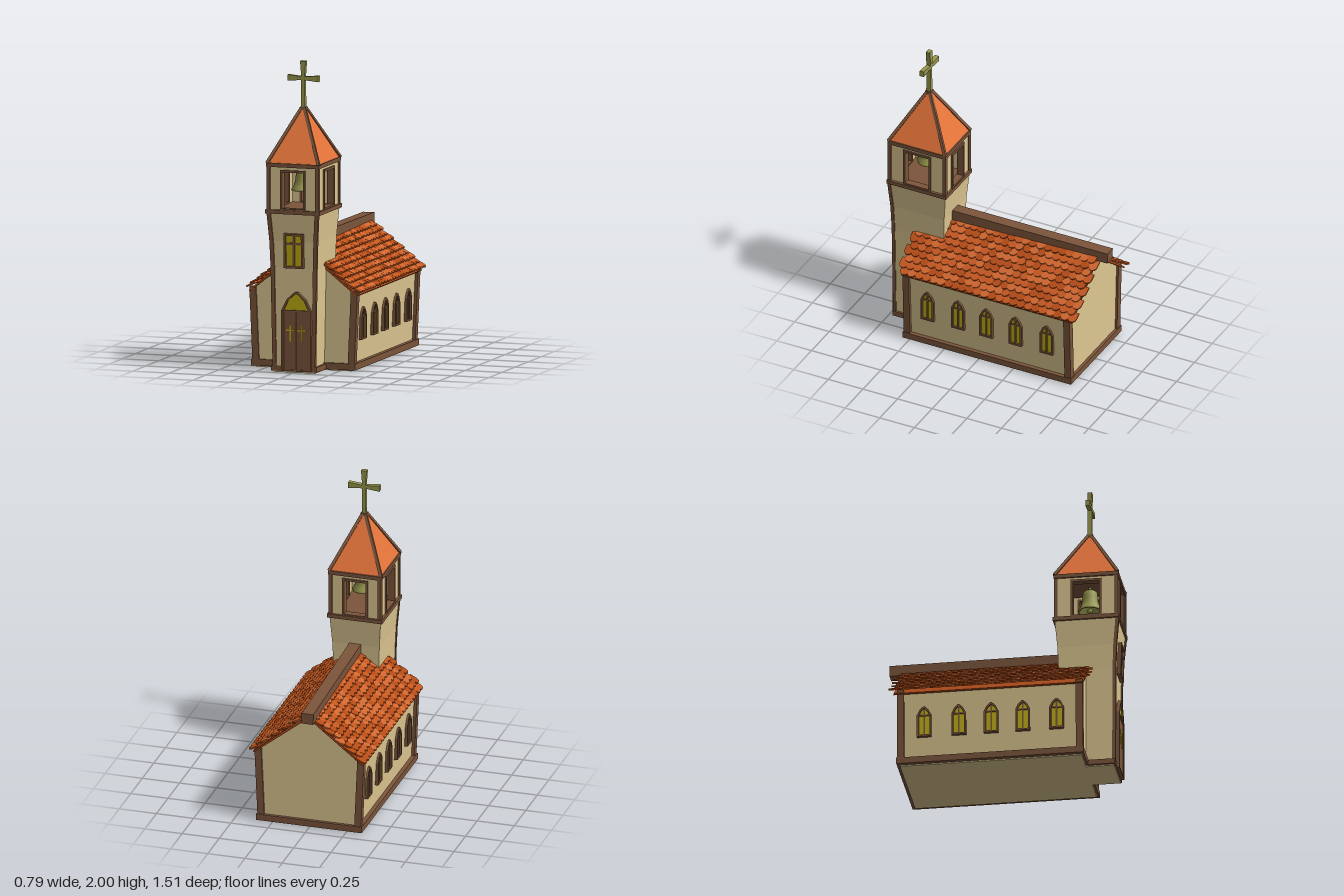
import * as THREE from 'three';
import { mergeGeometries } from 'three/addons/utils/BufferGeometryUtils.js';

const paint = (color, flat = true) => new THREE.MeshStandardMaterial({ color, flatShading: flat });
const WALL = paint(0xdec892), WOOD = paint(0x7c553b), GOLD = paint(0xbfae14);
const SPIRE = paint(0xe5743a), DECK = paint(0xa8481a), BRONZE = paint(0x98984e, false), CROSS = paint(0x98984e);
const TILES = [paint(0xd0662f), paint(0xc4571f), paint(0xb34a14)];
const TZ = 0.535; // tower centre in z

function add(parent, name, geo, mat, x = 0, y = 0, z = 0) {
  const m = new THREE.Mesh(geo, mat);
  m.name = name;
  m.position.set(x, y, z);
  parent.add(m);
  return m;
}
function box(parent, name, mat, w, h, d, x, y, z) {
  return add(parent, name, new THREE.BoxGeometry(w, h, d), mat, x, y, z);
}
// Straight timber between two points
function beam(parent, name, a, b, w, d = w, mat = WOOD) {
  const p = new THREE.Vector3(...a), q = new THREE.Vector3(...b), dir = q.clone().sub(p);
  const m = box(parent, name, mat, w, dir.length(), d, 0, 0, 0);
  m.position.copy(p).add(q).multiplyScalar(0.5);
  m.quaternion.setFromUnitVectors(new THREE.Vector3(0, 1, 0), dir.normalize());
  return m;
}
// Rectangular tower skin through sections [y, halfX, halfZ]
function loft(sections) {
  const pos = [], idx = [], n = sections.length;
  for (const [y, hx, hz] of sections) pos.push(-hx, y, hz, hx, y, hz, hx, y, -hz, -hx, y, -hz);
  for (let i = 0; i < n - 1; i++) for (let k = 0; k < 4; k++) {
    const a = i * 4 + k, b = i * 4 + (k + 1) % 4;
    idx.push(a, b, b + 4, a, b + 4, a + 4);
  }
  const t = (n - 1) * 4;
  idx.push(0, 3, 2, 0, 2, 1, t, t + 1, t + 2, t, t + 2, t + 3);
  const g = new THREE.BufferGeometry();
  g.setAttribute('position', new THREE.Float32BufferAttribute(pos, 3));
  g.setIndex(idx);
  const flat = g.toNonIndexed();
  flat.computeVertexNormals();
  return flat;
}
const poly = pts => new THREE.Shape(pts.map(p => new THREE.Vector2(...p)));
const extrude = (shape, depth) => new THREE.ExtrudeGeometry(shape, { depth, bevelEnabled: false, curveSegments: 5 });
// Outline standing on y = 0: straight to h1, then a pointed arch up to h
const arch = (w, h1, h, b = 0) => poly([[-w, b], [w, b], [w, h1], [w * 0.62, h1 + (h - h1) * 0.62],
  [w * 0.12, h], [-w * 0.12, h], [-w * 0.62, h1 + (h - h1) * 0.62], [-w, h1]]);
const rect = (w, y0, y1) => poly([[-w, y0], [w, y0], [w, y1], [-w, y1]]);

// Framed pane with mullion and transom, facing +z
function makeWindow(name, outer, inner, h, barY, w, t) {
  const g = new THREE.Group();
  g.name = name;
  add(g, 'pane', extrude(inner, 0.012), GOLD);
  outer.holes.push(inner);
  add(g, 'frame', extrude(outer, 0.024), WOOD);
  box(g, 'mullion', WOOD, t, h - 0.01, 0.02, 0, h / 2, 0.01);
  box(g, 'transom', WOOD, w * 2 - 0.01, t, 0.018, 0, barY, 0.01);
  return g;
}

function makeNave() {
  const g = new THREE.Group();
  g.name = 'nave';
  add(g, 'walls', extrude(poly([[-0.325, 0], [0.325, 0], [0.348, 0.505], [0, 0.785], [-0.348, 0.505]]), 1.18), WALL, 0, 0, -0.65);
  box(g, 'plinth', WOOD, 0.71, 0.042, 1.215, 0, 0.029, -0.0625);
  for (const s of [-1, 1]) {
    for (const z of [0.518, -0.642]) beam(g, 'cornerPost', [s * 0.325, 0.04, z], [s * 0.346, 0.52, z], 0.045);
    for (const z of [0.37, 0.15, -0.055, -0.265, -0.49]) {
      const w = makeWindow('sideWindow', arch(0.047, 0.15, 0.21), arch(0.035, 0.148, 0.195, 0.012), 0.21, 0.15, 0.047, 0.01);
      w.position.set(s * 0.332, 0.19, z);
      w.rotation.set(0, s * Math.PI / 2, 0);
      g.add(w);
    }
  }
  return g;
}

function makeRoof() {
  const g = new THREE.Group();
  g.name = 'roof';
  let seed = 7;
  const rnd = () => (seed = (seed * 16807) % 2147483647) / 2147483647;
  // Fish-scale tile: round at the bottom, straight sides
  const R = 0.029, shape = new THREE.Shape();
  shape.moveTo(-R, 0.075);
  shape.lineTo(-R, R);
  shape.absarc(0, R, R, Math.PI, 2 * Math.PI, false);
  shape.lineTo(R, 0.075);
  const tile = extrude(shape, 0.011);
  const eave = [0.383, 0.5], ridgeY = 0.8;
  const len = Math.hypot(eave[0], ridgeY - eave[1]), c = eave[0] / len, sn = (ridgeY - eave[1]) / len;
  const bins = [[], [], []];
  for (const s of [-1, 1]) {
    const up = new THREE.Vector3(-s * c, sn, 0), out = new THREE.Vector3(s * sn, c, 0);
    const side = up.clone().cross(out);
    for (let row = 0; row < 10; row++) for (let col = 0; col < 24; col++) {
      const t = row * 0.046, x = eave[0] - c * t;
      const z = -0.672 + col * 0.0525 + (row % 2 ? 0.013 : -0.013) + (rnd() - 0.5) * 0.008;
      const pick = Math.floor(rnd() * 3);
      if (x < 0.13 && z > 0.37) continue; // tower stands here
      const p = new THREE.Vector3(s * eave[0], eave[1], z).addScaledVector(up, t).addScaledVector(out, 0.014);
      const m = new THREE.Matrix4().makeBasis(side, up, out).setPosition(p);
      m.multiply(new THREE.Matrix4().makeRotationX(-0.17 - rnd() * 0.05));
      bins[pick].push(tile.clone().applyMatrix4(m));
    }
  }
  bins.forEach((b, i) => add(g, 'roofTiles', mergeGeometries(b), TILES[i]));
  const deck = poly([[-0.372, 0.496], [-0.365, 0.488], [0, 0.775], [0.365, 0.488], [0.372, 0.496], [0, 0.802]]);
  add(g, 'roofDeck', extrude(deck, 1.23), DECK, 0, 0, -0.685);
  beam(g, 'ridgeBeam', [0.005, 0.822, 0.35], [-0.018, 0.806, -0.76], 0.078, 0.072);
  return g;
}

function makeTower() {
  const g = new THREE.Group();
  g.name = 'tower';
  g.position.z = TZ;
  const shaft = [[0, 0.14, 0.178], [0.68, 0.152, 0.182], [0.85, 0.158, 0.188], [1.04, 0.172, 0.205]];
  add(g, 'shaft', loft(shaft), WALL);
  box(g, 'towerPlinth', WOOD, 0.31, 0.034, 0.37, 0, 0.025, 0);
  for (const s of [-1, 1]) for (let i = 0; i < 3; i++) {
    const [a, b] = [shaft[i], shaft[i + 1]];
    beam(g, 'cornerTrim', [s * (a[1] - 0.008), Math.max(a[0], 0.03), a[2] - 0.002],
      [s * (b[1] - 0.008), b[0], b[2] - 0.002], 0.026, 0.022);
  }
  box(g, 'lowerBand', WOOD, 0.37, 0.026, 0.43, 0, 1.043, 0);
  box(g, 'upperBand', WOOD, 0.36, 0.026, 0.42, 0, 1.345, 0);

  // Belfry: four pierced walls with timber frames
  for (let k = 0; k < 4; k++) {
    const face = new THREE.Group(), wide = k % 2;
    face.name = 'belfryFace';
    const half = wide ? 0.2 : 0.168, dist = wide ? 0.168 : 0.2, o = wide ? 0.1 : 0.086;
    const wall = rect(half - 0.002, 0, 0.3);
    wall.holes.push(rect(o - 0.004, 0.012, 0.262));
    add(face, 'belfryWall', extrude(wall, 0.03), WALL, 0, 1.045, dist - 0.03);
    const frame = rect(o, 0.006, 0.27);
    frame.holes.push(rect(o - 0.015, 0.021, 0.255));
    add(face, 'openingFrame', extrude(frame, 0.048), WOOD, 0, 1.045, dist - 0.038);
    face.rotation.y = k * Math.PI / 2;
    g.add(face);
  }
  for (const sx of [-1, 1]) for (const sz of [-1, 1]) {
    box(g, 'belfryPost', WOOD, 0.024, 0.29, 0.024, sx * 0.165, 1.195, sz * 0.197);
    beam(g, 'spireHip', [sx * 0.176, 1.355, sz * 0.205], [sx * 0.012, 1.69, sz * 0.012], 0.02);
  }
  add(g, 'spire', loft([[1.352, 0.175, 0.204], [1.7, 0.012, 0.012]]), SPIRE);
  box(g, 'spireCap', WOOD, 0.042, 0.024, 0.042, 0, 1.69, 0);

  // Bell with clapper and hanger
  const profile = [[0, 0.15], [0.03, 0.148], [0.046, 0.135], [0.05, 0.1], [0.054, 0.06], [0.064, 0.03],
    [0.077, 0.012], [0.077, 0], [0.066, 0.002], [0.045, 0.06], [0, 0.12]];
  const bell = add(g, 'bell', new THREE.LatheGeometry(profile.map(p => new THREE.Vector2(...p)).reverse(), 20), BRONZE, 0, 1.16, 0);
  bell.material.side = THREE.DoubleSide;
  add(g, 'clapper', new THREE.SphereGeometry(0.018, 10, 8), BRONZE, 0, 1.165, 0);
  add(g, 'bellHanger', new THREE.CylinderGeometry(0.01, 0.01, 0.05, 8), BRONZE, 0, 1.33, 0);

  // Cross with flared ends
  const cy = 1.887;
  const cross = poly([[-0.014, 1.69], [0.014, 1.69], [0.011, cy - 0.011], [0.105, cy - 0.02], [0.105, cy + 0.02],
    [0.011, cy + 0.011], [0.019, 2], [-0.019, 2], [-0.011, cy + 0.011], [-0.105, cy + 0.02],
    [-0.105, cy - 0.02], [-0.011, cy - 0.011]]);
  add(g, 'cross', extrude(cross, 0.03), CROSS, 0, 0, -0.015);

  // Upper window and arched door on the front
  const win = makeWindow('towerWindow', rect(0.066, 0, 0.225), rect(0.052, 0.014, 0.211), 0.225, 0.16, 0.066, 0.014);
  win.position.set(0.005, 0.68, 0.184);
  win.rotation.x = 0.03;
  g.add(win);
  const door = new THREE.Group();
  door.name = 'door';
  door.position.set(0.02, 0.012, 0.178);
  const surround = arch(0.1, 0.395, 0.512);
  surround.holes.push(arch(0.086, 0.39, 0.5, 0.01));
  add(door, 'doorFrame', extrude(surround, 0.026), WOOD);
  add(door, 'fanlight', extrude(arch(0.09, 0.39, 0.505, 0.38), 0.014), GOLD);
  box(door, 'doorLintel', WOOD, 0.19, 0.016, 0.024, 0, 0.388, 0.012);
  for (const s of [-1, 1]) {
    box(door, 'doorLeaf', WOOD, 0.083, 0.38, 0.018, s * 0.043, 0.195, 0.01);
    box(door, 'doorCrossUpright', GOLD, 0.008, 0.105, 0.008, s * 0.039, 0.245, 0.02);
    box(door, 'doorCrossArm', GOLD, 0.055, 0.008, 0.008, s * 0.039, 0.265, 0.02);
  }
  g.add(door);
  return g;
}

export function createModel() {
  const model = new THREE.Group();
  model.name = 'chapel';
  model.add(makeNave(), makeRoof(), makeTower());
  return model;
}
